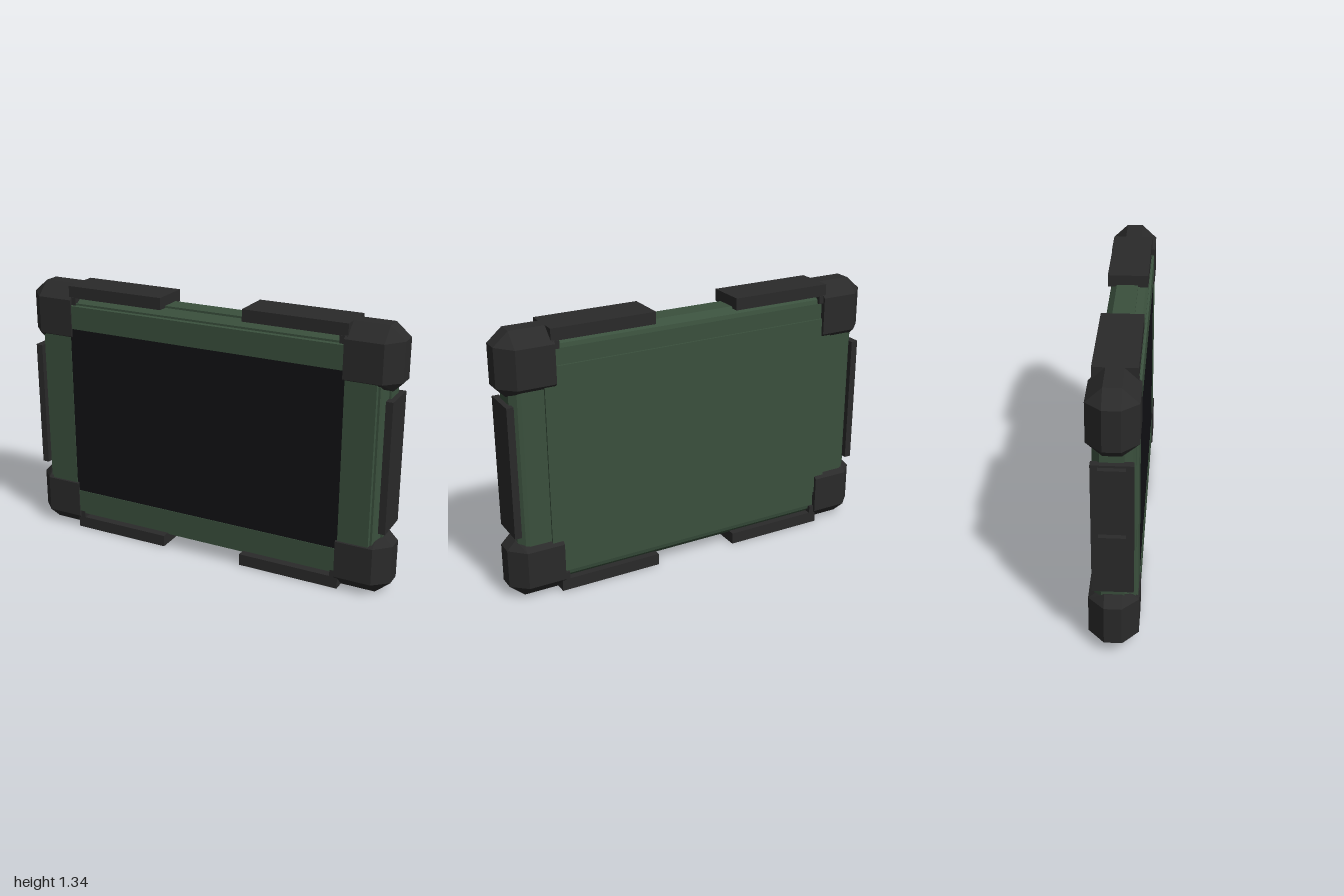
import * as THREE from 'three';
import { ConvexGeometry } from 'three/addons/geometries/ConvexGeometry.js';

const MID = 0.67; // height of the centre line

const material = (color) => new THREE.MeshStandardMaterial({ color, flatShading: true });

// Skin through rectangular rings [z, halfWidth, halfHeight], ordered back to front
function rectLoft(rings) {
  const pos = [];
  const corner = ([z, hx, hy], i) => [[-hx, -hy, z], [hx, -hy, z], [hx, hy, z], [-hx, hy, z]][i % 4];
  for (let k = 0; k < rings.length - 1; k++) {
    for (let i = 0; i < 4; i++) {
      const a = corner(rings[k], i), b = corner(rings[k], i + 1);
      const c = corner(rings[k + 1], i + 1), d = corner(rings[k + 1], i);
      pos.push(...a, ...b, ...c, ...a, ...c, ...d);
    }
  }
  const g = new THREE.BufferGeometry();
  g.setAttribute('position', new THREE.Float32BufferAttribute(pos, 3));
  g.computeVertexNormals();
  return g;
}

export function createModel() {
  const group = new THREE.Group();
  const green = material(0x3a503d), rubber = material(0x2a2a2a), black = material(0x121215);

  const add = (name, geometry, mat, y = 0) => {
    const mesh = new THREE.Mesh(geometry, mat);
    mesh.name = name;
    mesh.position.y = y;
    group.add(mesh);
    return mesh;
  };
  // Box given by its limits
  const block = (name, mat, [x0, x1], [y0, y1], [z0, z1]) => {
    const g = new THREE.BoxGeometry(x1 - x0, y1 - y0, z1 - z0);
    g.translate((x0 + x1) / 2, (y0 + y1) / 2, (z0 + z1) / 2);
    return add(name, g, mat);
  };

  // Stepped case with a shallow opening at the front
  add('caseBody', rectLoft([
    [-0.09, 0, 0], [-0.09, 0.9, 0.57], [-0.085, 0.92, 0.59], [-0.055, 0.95, 0.62],
    [0.05, 0.95, 0.62], [0.05, 0.94, 0.61], [0.085, 0.92, 0.585], [0.1, 0.915, 0.585],
    [0.1, 0.905, 0.575], [0.11, 0.9, 0.57], [0.11, 0.745, 0.45], [0.1, 0.745, 0.45],
  ]), green, MID);
  block('screen', black, [-0.745, 0.745], [0.22, 1.12], [0.08, 0.107]);

  // Raised plate on the back
  add('backPlate', rectLoft([
    [-0.1, 0, 0], [-0.1, 0.79, 0.49], [-0.085, 0.79, 0.49],
  ]), green, MID);

  // Faceted corner guards and edge bumpers, mirrored to all four corners
  for (const sx of [-1, 1]) {
    for (const sy of [-1, 1]) {
      const points = [];
      const put = (x, y, z) => points.push(
        new THREE.Vector3(sx * x, sy * y, z), new THREE.Vector3(sx * x, sy * y, -z));
      for (const x of [0.735, 0.925]) {
        put(x, 0.41, 0.115);
        put(x, 0.6, 0.115);
        put(x, 0.67, 0.04);
        put(x, 0.38, 0.08);
        put(x, 0.365, 0.04);
      }
      put(1, 0.41, 0.04);
      put(1, 0.605, 0.04);
      put(0.955, 0.365, 0.04);
      add('cornerGuard', new ConvexGeometry(points), rubber, MID);

      const bumper = new THREE.BoxGeometry(0.53, 0.06, 0.2);
      bumper.translate(sx * 0.485, sy * 0.64, 0);
      add('edgeBumper', bumper, rubber, MID);

      // Short lip where the guard meets the bumper
      const lip = new THREE.BoxGeometry(0.04, 0.04, 0.206);
      lip.translate(sx * 0.73, sy * 0.592, 0);
      add('guardLip', lip, rubber, MID);
    }
    // Long cover on each side
    const x = [0.94 * sx, 0.975 * sx].sort((a, b) => a - b);
    block('sideCover', rubber, x, [0.34, 1.0], [-0.093, 0.093]);
  }

  // Two port doors on one side
  for (const y of [0.37, 0.71]) {
    block('portDoor', rubber, [-1, -0.97], [y, y + 0.28], [-0.06, 0.06]);
  }
  return group;
}
